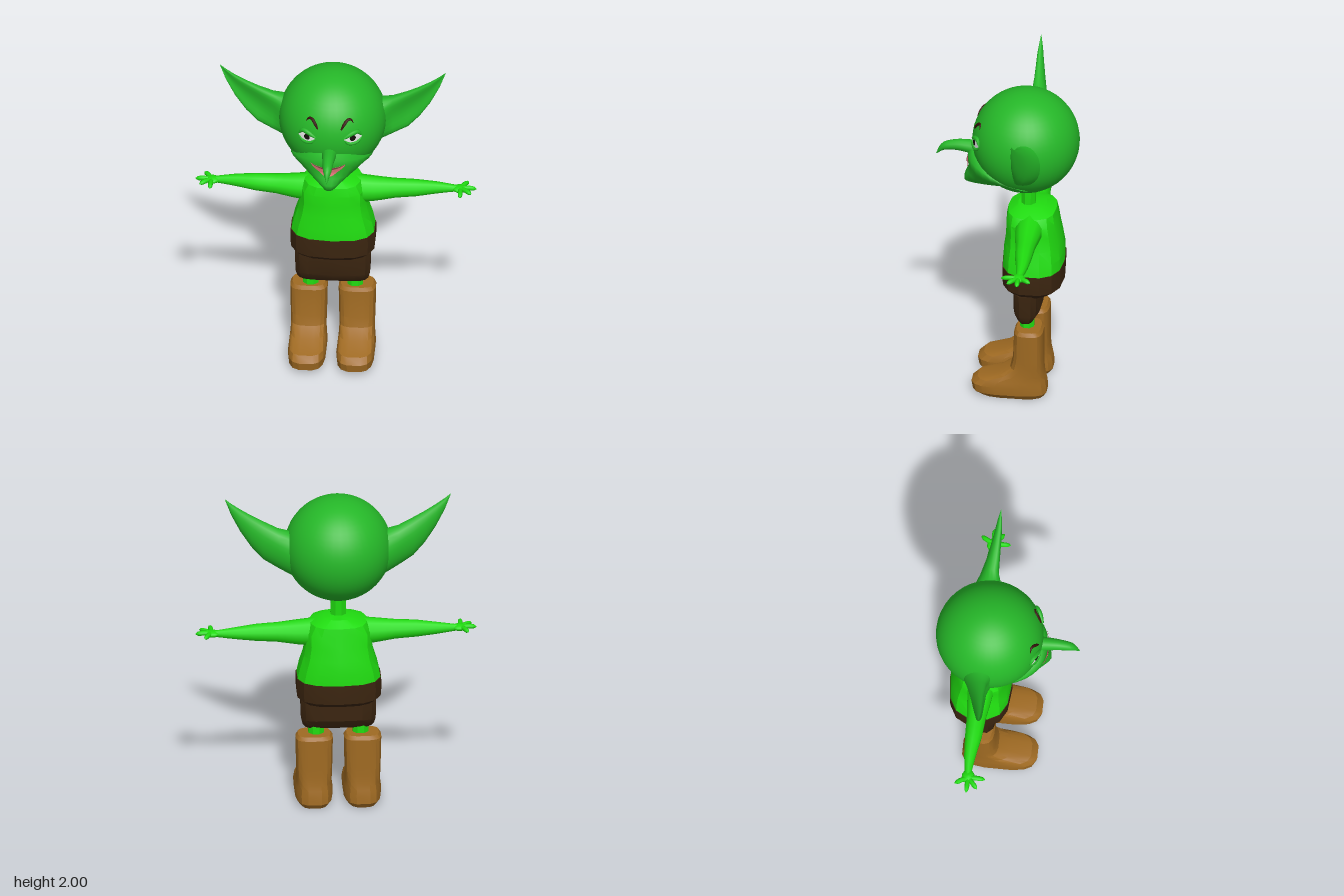
import * as THREE from 'three';
import { mergeVertices, toCreasedNormals } from 'three/addons/utils/BufferGeometryUtils.js';

const V = (x, y, z) => new THREE.Vector3(x, y, z);
const CX = -0.015; // centre line of head and body

function makeMaterial(name, color) {
  const m = new THREE.MeshStandardMaterial({ color });
  m.name = name;
  return m;
}

// Skin over rings of points, closed at both ends
function loft(rings) {
  const n = rings[0].length, pos = rings.flat(2), idx = [];
  for (let j = 0; j < rings.length - 1; j++) for (let i = 0; i < n; i++) {
    const a = j * n + i, b = j * n + (i + 1) % n;
    idx.push(a, a + n, b + n, a, b + n, b);
  }
  for (const j of [0, rings.length - 1]) {
    const c = pos.length / 3;
    for (let k = 0; k < 3; k++) pos.push(rings[j].reduce((s, p) => s + p[k], 0) / n);
    for (let i = 0; i < n; i++) {
      const a = j * n + i, b = j * n + (i + 1) % n;
      idx.push(...(j ? [a, c, b] : [a, b, c]));
    }
  }
  const g = new THREE.BufferGeometry();
  g.setAttribute('position', new THREE.Float32BufferAttribute(pos, 3));
  g.setIndex(idx);
  g.computeVertexNormals();
  return g;
}

// Ring of n points from a rule taking the cosine and sine, squared off by e
function ring(n, e, rule) {
  const sq = v => Math.sign(v) * Math.abs(v) ** (2 / e);
  return Array.from({ length: n }, (_, i) => {
    const a = (i + 0.5) / n * Math.PI * 2;
    return rule(sq(Math.cos(a)), sq(Math.sin(a)));
  });
}

// Upright faceted form; each row is y, half width, half depth, centre z
const stack = (rows, n = 14, e = 2.7, x = CX) => toCreasedNormals(
  loft(rows.map(([y, w, d, z]) => ring(n, e, (c, s) => [x + w * c, y, z + d * s]))), 0.45);

// Tube of changing radius along a curve
function sweep(points, radii, sides = 8, seg = 14) {
  const curve = new THREE.CatmullRomCurve3(points);
  const g = new THREE.TubeGeometry(curve, seg, 1, sides);
  const p = g.attributes.position, v = V(0, 0, 0);
  for (let i = 0; i < p.count; i++) {
    const t = Math.floor(i / (sides + 1)) / seg, c = curve.getPointAt(t);
    const f = t * (radii.length - 1), k = Math.min(Math.floor(f), radii.length - 2);
    const r = THREE.MathUtils.lerp(radii[k], radii[k + 1], f - k);
    v.fromBufferAttribute(p, i).sub(c).multiplyScalar(r).add(c);
    p.setXYZ(i, v.x, v.y, v.z);
  }
  g.deleteAttribute('uv');
  g.deleteAttribute('normal');
  const m = mergeVertices(g, 1e-5);
  m.computeVertexNormals();
  return m;
}

function mirror(geo) {
  const g = geo.clone().scale(-1, 1, 1), a = g.index.array;
  for (let i = 0; i < a.length; i += 3) [a[i], a[i + 1]] = [a[i + 1], a[i]];
  g.computeVertexNormals();
  return g;
}

export function createModel() {
  const model = new THREE.Group();
  const headGreen = makeMaterial('headGreen', 0x25b728);
  const bodyGreen = makeMaterial('bodyGreen', 0x20dc10);
  const trouserBrown = makeMaterial('trouserBrown', 0x3b2510);
  const bootTan = makeMaterial('bootTan', 0x9f6a22);
  const eyeWhite = makeMaterial('eyeWhite', 0xe6e6e6);
  const dark = makeMaterial('pupilDark', 0x120c08);
  const browBrown = makeMaterial('browBrown', 0x35140a);
  const mouthPink = makeMaterial('mouthPink', 0xe07478);
  const gumBrown = makeMaterial('gumBrown', 0x7a4a42);
  for (const m of [eyeWhite, dark, mouthPink, gumBrown]) m.side = THREE.DoubleSide;
  const add = (name, geo, mat) => {
    const mesh = new THREE.Mesh(geo, mat);
    mesh.name = name;
    model.add(mesh);
    return mesh;
  };

  // Skull and the jutting jaw: y, half width, front z, backward slope
  const skull = add('skull', new THREE.SphereGeometry(0.322, 40, 28).translate(CX, 1.663, -0.11), headGreen);
  const jawRows = [
    [1.352, 0.04, 0.2, 0], [1.365, 0.07, 0.262, 0], [1.4, 0.125, 0.262, 0], [1.44, 0.185, 0.245, 0.03],
    [1.48, 0.225, 0.232, 0.1], [1.52, 0.25, 0.238, 0.2], [1.565, 0.25, 0.238, 0.33],
    [1.595, 0.22, 0.215, 0.42], [1.615, 0.17, 0.13, 0.45]];
  const jaw = add('jaw', loft(jawRows.map(([y, w, f, slope]) => ring(32, 2.3, (c, s) => {
    const z = -0.1 + s * (s > 0 ? f + 0.1 : 0.1);
    return [CX + w * c, y - slope * (f - z), z];
  }))), headGreen);

  // Height of the face surface, for laying features on it
  const ray = new THREE.Raycaster();
  const faceZ = (x, y) => {
    ray.set(V(x, y, 2), V(0, 0, -1));
    const hit = ray.intersectObjects([skull, jaw])[0];
    return hit ? hit.point.z : 0.1;
  };
  const onFace = (x, y, lift = 0) => V(x, y, faceZ(x, y) + lift);
  const plate = (name, mat, lift, rule, nu = 12, nv = 6) => {
    const g = new THREE.PlaneGeometry(1, 1, nu, nv), p = g.attributes.position;
    for (let i = 0; i < p.count; i++) {
      const [x, y] = rule(p.getX(i) + 0.5, p.getY(i) + 0.5);
      p.setXYZ(i, x, y, faceZ(x, y) + lift);
    }
    g.computeVertexNormals();
    return add(name, g, mat);
  };

  // Hooked nose
  add('nose', sweep([V(CX, 1.575, 0.14), V(CX, 1.59, 0.23), V(CX, 1.595, 0.31), V(CX, 1.578, 0.385), V(CX, 1.525, 0.432)],
    [0.058, 0.042, 0.034, 0.026, 0.001], 12, 20), headGreen);

  // Grinning mouth
  const mouthTop = u => 1.518 + 0.02 * (2 * u - 1) ** 2;
  const mouthLow = u => 1.535 - 0.075 * Math.min(1, 2.6 * Math.min(u, 1 - u)) ** 0.8;
  const mouthX = u => -0.02 + (u - 0.5) * 0.21;
  plate('mouth', mouthPink, 0.006, (u, v) => [mouthX(u), THREE.MathUtils.lerp(mouthLow(u), mouthTop(u), v)], 20, 8);
  plate('upperGum', gumBrown, 0.009, (u, v) => [mouthX(u), mouthTop(u) - 0.014 * (1 - v) * Math.sin(Math.PI * u)], 20, 2);

  // Eyes, lids and brows; u runs from the inner to the outer corner
  for (const s of [-1, 1]) {
    const side = s > 0 ? 'left' : 'right';
    const ex = -0.0125 + s * 0.1375, ey = 1.697;
    const eyeX = u => ex + s * (u - 0.5) * 0.104;
    const top = u => ey + (0.008 + 0.036 * u) * Math.sqrt(Math.sin(Math.PI * u) + 1e-9);
    const low = u => ey - 0.031 * Math.sqrt(Math.sin(Math.PI * u) + 1e-9);
    plate(side + 'Eye', eyeWhite, 0.005, (u, v) => [eyeX(u), THREE.MathUtils.lerp(low(u), top(u), v)]);
    plate(side + 'Pupil', dark, 0.009, (u, v) => {
      const a = u * Math.PI * 2;
      return [ex + 0.018 * v * Math.cos(a), ey + 0.003 + 0.018 * v * Math.sin(a)];
    }, 14, 2);
    const us = [0, 0.25, 0.5, 0.75, 1];
    add(side + 'UpperLid', sweep(us.map(u => onFace(eyeX(u), top(u) + 0.006, 0.004)), [0.006, 0.013, 0.015, 0.013, 0.004]), headGreen);
    add(side + 'LowerLid', sweep(us.map(u => onFace(eyeX(u), low(u) - 0.004, 0.003)), [0.004, 0.01, 0.011, 0.01, 0.004]), headGreen);
    const brow = [[0.07, 1.757], [0.086, 1.785], [0.108, 1.81], [0.126, 1.81], [0.142, 1.788]];
    add(side + 'Brow', sweep(brow.map(([x, y]) => onFace(CX + s * x, y, 0.002)), [0.004, 0.009, 0.01, 0.007, 0.001]), browBrown);
  }

  // Pointed ears with a hollow front: distance out, top, bottom, half depth, z
  const ear = loft([
    [0.2, 1.79, 1.46, 0.14, -0.13], [0.295, 1.787, 1.515, 0.1, -0.135], [0.36, 1.805, 1.55, 0.075, -0.13],
    [0.45, 1.85, 1.605, 0.055, -0.12], [0.52, 1.888, 1.685, 0.042, -0.115], [0.585, 1.928, 1.785, 0.03, -0.11],
    [0.64, 1.967, 1.895, 0.016, -0.11], [0.675, 1.997, 1.99, 0.002, -0.11],
  ].map(([x, t, b, d, z], j) => ring(24, 2, (c, s) => {
    const hollow = c > 0 ? Math.min(1, j / 3) * 0.95 * c ** 3 : 0;
    return [x, (t + b) / 2 + s * (t - b) / 2, z + d * (c - hollow)];
  })));
  add('leftEar', ear.clone().translate(CX, 0, 0), headGreen);
  add('rightEar', mirror(ear).translate(CX, 0, 0), headGreen);

  // Neck, torso and trousers
  add('neck', stack([[1.2, 0.05, 0.045, -0.125], [1.38, 0.048, 0.045, -0.13]], 8, 2), bodyGreen);
  add('torso', stack([[0.85, 0.253, 0.185, -0.16], [0.92, 0.238, 0.183, -0.16], [1, 0.213, 0.172, -0.16],
    [1.08, 0.2, 0.162, -0.155], [1.15, 0.2, 0.155, -0.15], [1.205, 0.17, 0.145, -0.15], [1.237, 0.09, 0.085, -0.15]]), bodyGreen);
  add('trouserTop', stack([[0.69, 0.215, 0.135, -0.155], [0.73, 0.254, 0.185, -0.16],
    [0.79, 0.259, 0.188, -0.16], [0.852, 0.257, 0.188, -0.16]]), trouserBrown);
  add('trouserLegs', stack([[0.5, 0.2, 0.045, -0.13], [0.52, 0.216, 0.06, -0.13],
    [0.56, 0.226, 0.082, -0.132], [0.7, 0.23, 0.085, -0.132]], 14, 3.5), trouserBrown);

  // Legs and boots; boot rows are y, half width, back z, front z
  const bootRows = [[0, 0.09, -0.24, 0.14], [0.03, 0.112, -0.26, 0.188], [0.08, 0.115, -0.257, 0.197],
    [0.115, 0.111, -0.25, 0.16], [0.15, 0.106, -0.242, 0.035], [0.2, 0.106, -0.237, -0.038],
    [0.26, 0.108, -0.236, -0.055], [0.44, 0.112, -0.236, -0.062], [0.462, 0.098, -0.222, -0.075]];
  for (const s of [-1, 1]) {
    const side = s > 0 ? 'left' : 'right', x = CX + s * 0.145;
    add(side + 'Leg', stack([[0.4, 0.05, 0.046, -0.135], [0.56, 0.05, 0.046, -0.135]], 8, 2, CX + s * 0.133), bodyGreen);
    add(side + 'Boot', stack(bootRows.map(([y, w, b, f]) => [y, w, (f - b) / 2, (f + b) / 2]), 16, 3.2, x), bootTan);
  }

  // Outstretched arms, palms and four spread fingers
  const armParts = {
    Arm: sweep([V(0.1, 1.13, -0.15), V(0.225, 1.13, -0.15), V(0.35, 1.135, -0.155), V(0.475, 1.138, -0.16),
      V(0.6, 1.14, -0.168), V(0.735, 1.14, -0.168)], [0.09, 0.077, 0.06, 0.052, 0.036, 0.018], 10, 15),
    Palm: mergeVertices(new THREE.SphereGeometry(1, 10, 8).scale(0.045, 0.02, 0.04).translate(0.74, 1.14, -0.165)),
  };
  [[0.79, -0.242], [0.842, -0.168], [0.815, -0.105], [0.75, -0.062]].forEach(([x, z], i) => {
    const base = V(0.745, 1.14, -0.165), tip = V(x, 1.14, z);
    armParts['Finger' + (i + 1)] = sweep([base, base.clone().lerp(tip, 0.5).setY(1.145), tip],
      [0.014, 0.015, 0.015, 0.015, 0.015, 0.013, 0.002], 7, 12);
  });
  for (const [name, geo] of Object.entries(armParts)) {
    add('left' + name, geo, bodyGreen);
    add('right' + name, mirror(geo), bodyGreen);
  }
  return model;
}
